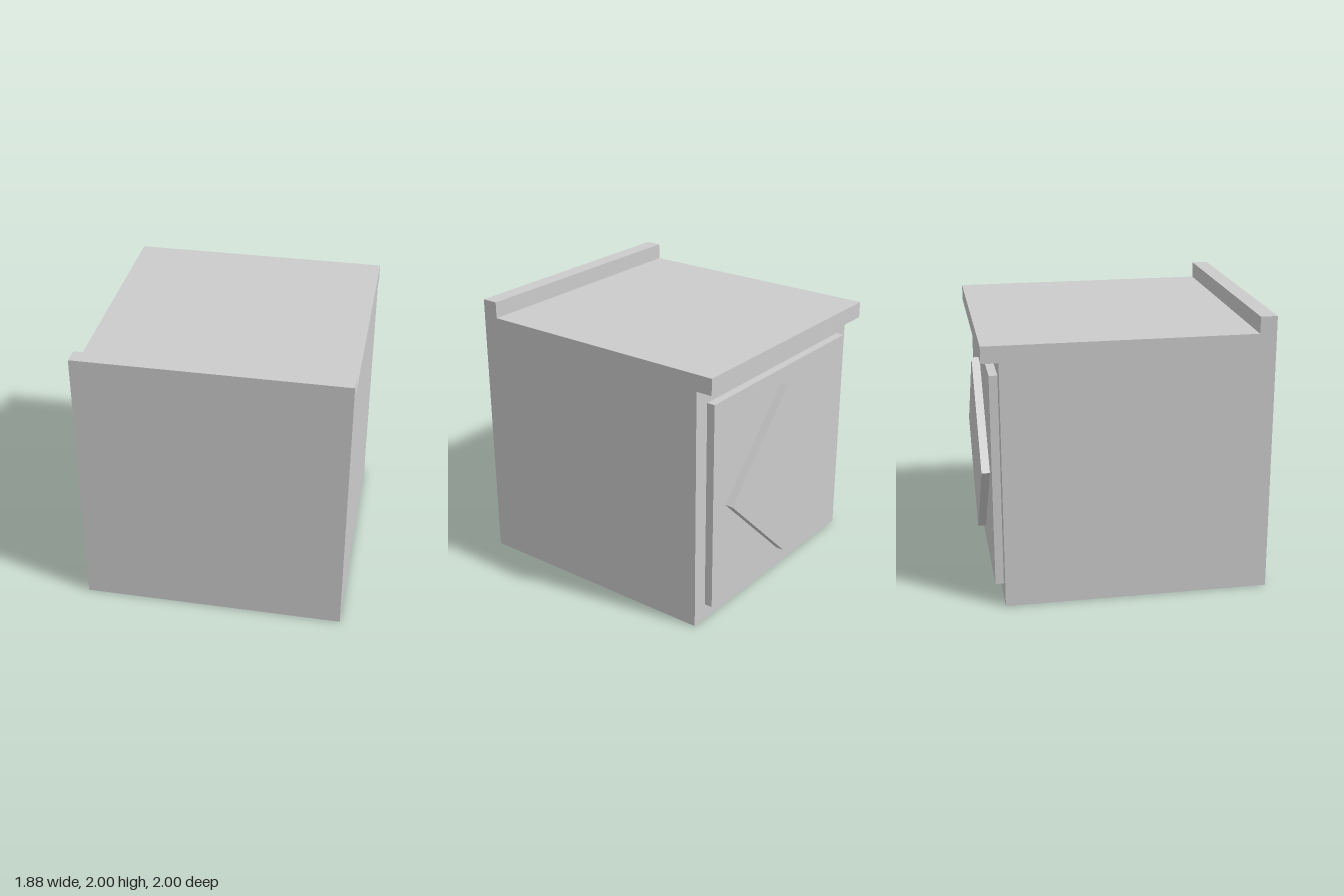
import * as THREE from 'three';

const U = 2 / 17; // modular unit: the model is 17 units tall and deep

export function createModel() {
  const group = new THREE.Group();
  const grey = new THREE.MeshStandardMaterial({ color: 0xcccccc });
  grey.name = 'light grey';

  const add = (name, geometry) => {
    const mesh = new THREE.Mesh(geometry, grey);
    mesh.name = name;
    group.add(mesh);
    return mesh;
  };

  // Block with raised front lip and rear overhang: side profile (z, y) swept across x
  const profile = new THREE.Shape([
    [1, 0], [1, 2], [1 - U, 2], [1 - U, 2 - U], [-1, 2 - U],
    [-1, 2 - 2 * U], [-1 + U, 2 - 2 * U], [-1 + U, 0],
  ].map(([z, y]) => new THREE.Vector2(z, y)));
  const body = new THREE.ExtrudeGeometry(profile, { depth: 16 * U, bevelEnabled: false });
  body.rotateY(-Math.PI / 2).translate(8 * U, 0, 0);
  add('body', body);

  // Thin raised panel on the back
  add('backPanel', new THREE.BoxGeometry(14 * U, 13 * U, U / 2))
    .position.set(0, 7.5 * U, -1 + 0.75 * U);

  // Square plate turned on its corner
  const plate = add('diamondPlate', new THREE.BoxGeometry(8 * U, 8 * U, U / 2));
  plate.position.set(0.015, 0.875, -1 + 0.25 * U);
  plate.rotation.z = Math.PI / 4 - 0.023;

  return group;
}
